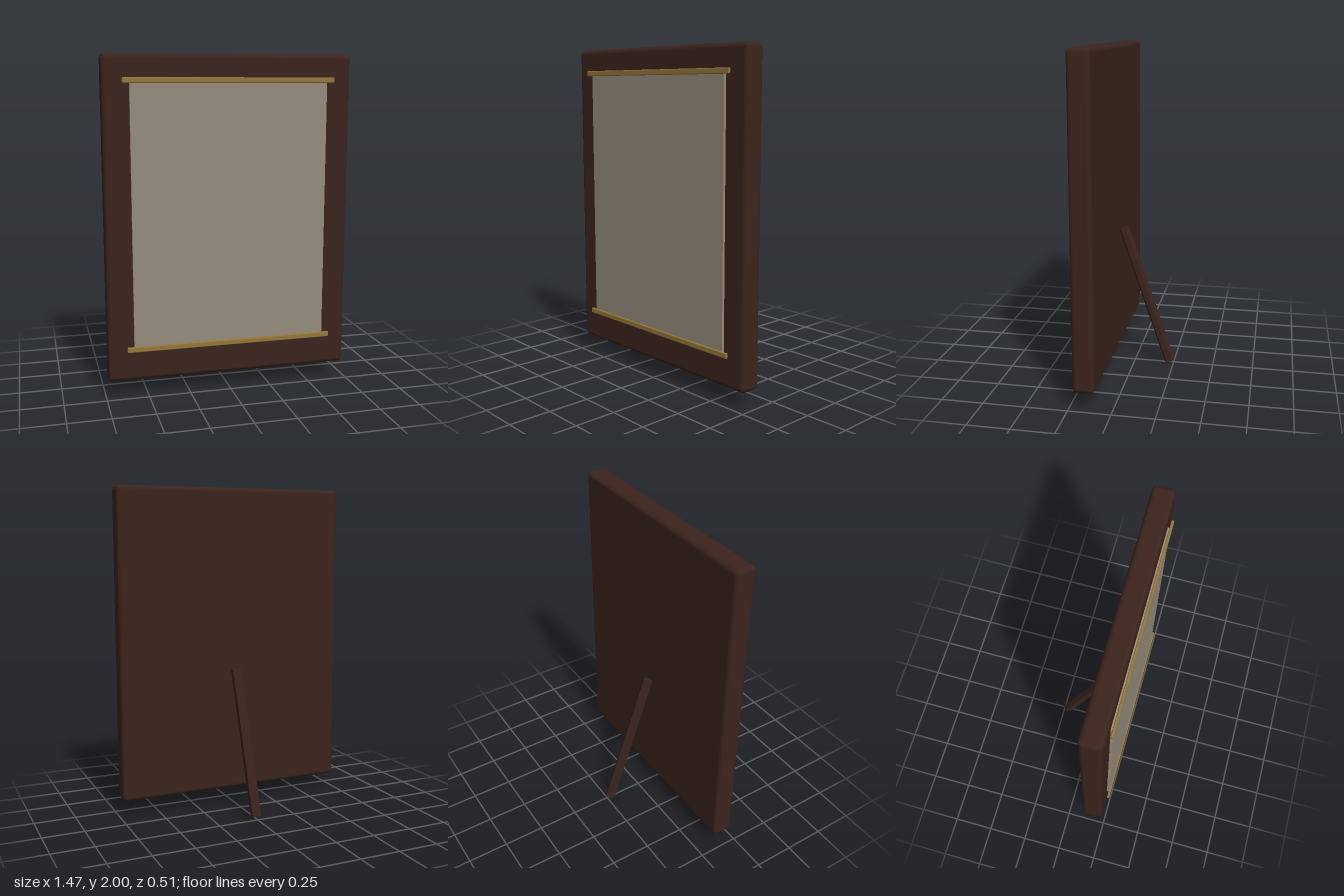
import * as THREE from 'three';
import { RoundedBoxGeometry } from 'three/addons/geometries/RoundedBoxGeometry.js';

const wood = new THREE.MeshStandardMaterial({ color: 0x3b241c });
const woodFlat = new THREE.MeshStandardMaterial({ color: 0x3b241c, flatShading: true });
const pane = new THREE.MeshStandardMaterial({ color: 0x968c7d });
const brass = new THREE.MeshStandardMaterial({ color: 0x94773a });

function add(group, name, geometry, material, x, y, z) {
  const mesh = new THREE.Mesh(geometry, material);
  mesh.name = name;
  mesh.position.set(x, y, z);
  group.add(mesh);
  return mesh;
}

export function createModel() {
  const group = new THREE.Group();
  group.name = 'standingFrame';

  // Thick backing board with softly rounded edges
  add(group, 'board', new RoundedBoxGeometry(1.47, 1.9, 0.128, 3, 0.028), wood, 0, 1.05, 0.164);

  // Thin panel on the front of the board
  add(group, 'panel', new THREE.BoxGeometry(1.165, 1.55, 0.017), pane, 0, 1.075, 0.2345);

  // Brass strips across the top and bottom of the panel
  for (const [name, y] of [['topStrip', 1.852], ['bottomStrip', 0.298]]) {
    add(group, name, new RoundedBoxGeometry(1.248, 0.032, 0.016, 2, 0.005), brass, 0, y, 0.246);
  }

  // Hexagonal prop leg leaning from the back of the board to the ground
  const top = new THREE.Vector3(0, 0.878, 0.073);
  const foot = new THREE.Vector3(0, 0.0105, -0.224);
  const mid = top.clone().add(foot).multiplyScalar(0.5);
  const leg = add(group, 'propLeg', new THREE.CylinderGeometry(0.0325, 0.0325, top.distanceTo(foot), 6),
    woodFlat, mid.x, mid.y, mid.z);
  leg.rotation.x = Math.atan2(top.z - foot.z, top.y - foot.y);

  return group;
}
